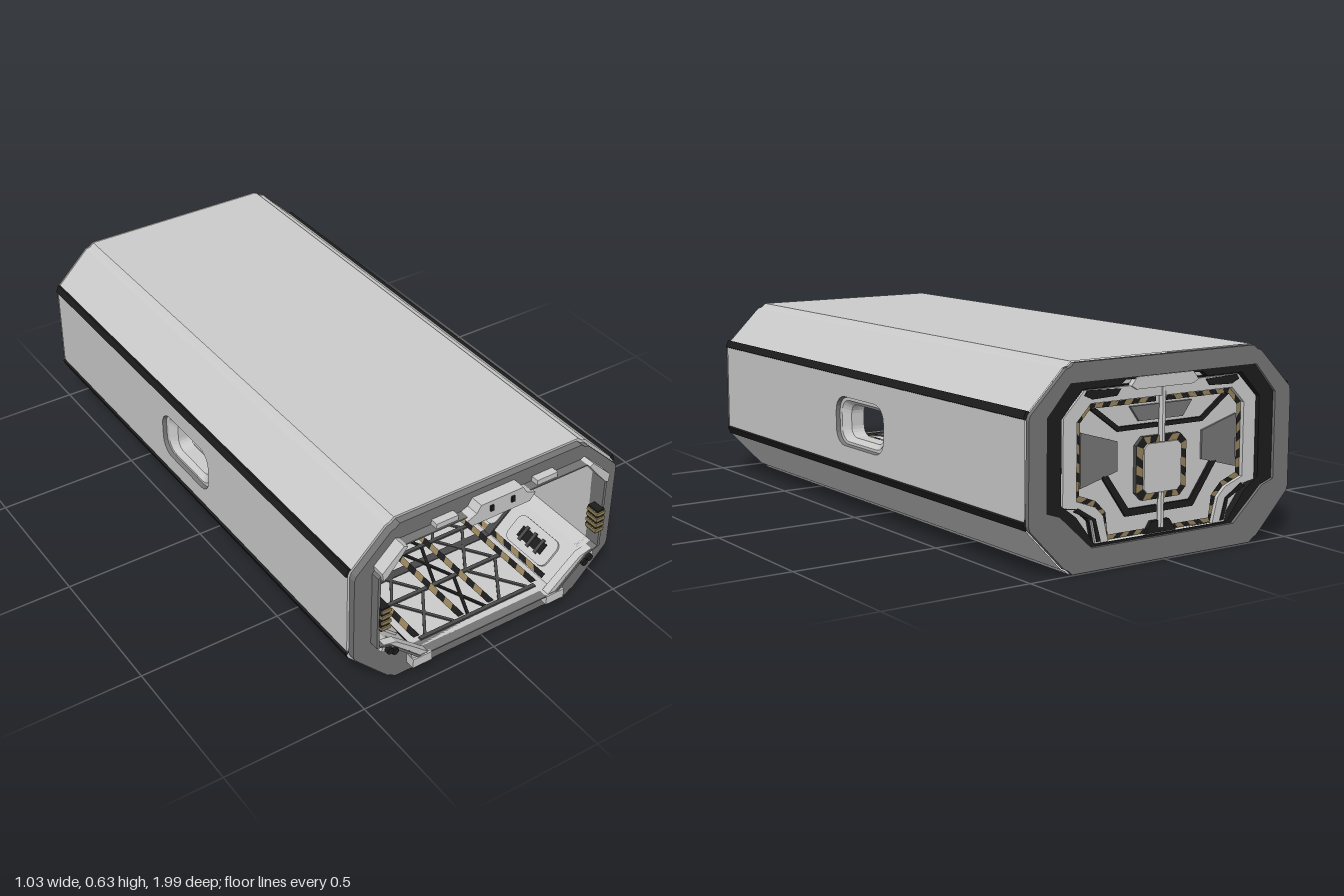
import * as THREE from 'three';

const mat = (color) => new THREE.MeshStandardMaterial({ color, side: THREE.DoubleSide, flatShading: true });
const GREY = mat(0xcccccc), RING = mat(0x747474), DARK = mat(0x4a4a4a), BLACK = mat(0x1c1c1c), YELLOW = mat(0x94815a);

const V = (p) => new THREE.Vector2(p[0], p[1]);
const flip = (pts) => pts.map(([x, y]) => [-x, y]);
const mirrorLoop = (half) => [...half, ...flip(half).reverse()];
const shapeOf = (pts, hole) => {
  const s = new THREE.Shape(pts.map(V));
  if (hole) s.holes.push(new THREE.Path(hole.map(V)));
  return s;
};
function add(parent, name, geo, material, x = 0, y = 0, z = 0) {
  const m = new THREE.Mesh(geo, material);
  m.name = name;
  m.position.set(x, y, z);
  parent.add(m);
  return m;
}
// Flat outline pushed out from z0 to z1
const plate = (parent, name, pts, z0, z1, material, hole) =>
  add(parent, name, new THREE.ExtrudeGeometry(shapeOf(pts, hole), { depth: z1 - z0, bevelEnabled: false }), material, 0, 0, z0);
const pairPlate = (parent, name, pts, z0, z1, material) =>
  [pts, flip(pts)].forEach((p) => plate(parent, name, p, z0, z1, material));
const box = (parent, name, w, h, d, x, y, z, material) => add(parent, name, new THREE.BoxGeometry(w, h, d), material, x, y, z);

function quads(list) {
  const pos = [];
  for (const [a, b, c, d] of list) pos.push(...a, ...b, ...c, ...a, ...c, ...d);
  const g = new THREE.BufferGeometry();
  g.setAttribute('position', new THREE.Float32BufferAttribute(pos, 3));
  g.computeVertexNormals();
  return g;
}
// Walls running along z around a closed outline; upright side walls may be skipped
function tunnel(pts, z0, z1, skipX) {
  const out = [];
  pts.forEach(([x, y], i) => {
    const [u, v] = pts[(i + 1) % pts.length];
    if (Math.abs(x) === skipX && x === u) return;
    out.push([[x, y, z1], [x, y, z0], [u, v, z0], [u, v, z1]]);
  });
  return quads(out);
}
// Slanted warning stripes between two parallel paths
function hazard(parent, name, outer, inner, z, step = 0.04) {
  const sets = [[], []];
  let count = 0;
  const at = (path, i, t) => [0, 1].map((k) => path[i][k] + (path[i + 1][k] - path[i][k]) * t).concat(0);
  for (let i = 0; i < outer.length - 1; i++) {
    const n = Math.max(1, Math.round(V(outer[i]).distanceTo(V(outer[i + 1])) / step));
    const lean = (t) => (t === 0 ? 0 : Math.min(1, t + 0.5 / n));
    for (let k = 0; k < n; k++) {
      const a = k / n, b = (k + 1) / n;
      sets[count++ % 2].push([at(inner, i, lean(a)), at(inner, i, lean(b)), at(outer, i, b), at(outer, i, a)]);
    }
  }
  const g = new THREE.Group();
  g.name = name;
  g.position.z = z;
  sets.forEach((s, i) => s.length && add(g, i ? 'yellowStripes' : 'blackStripes', quads(s), i ? YELLOW : BLACK));
  parent.add(g);
  return g;
}
const pairHazard = (parent, name, o, i, z, step) => {
  hazard(parent, name, o, i, z, step);
  hazard(parent, name, flip(o), flip(i), z, step);
};
function roundedRect(cx, cy, hw, hh, r) {
  const pts = [];
  [[1, 1], [-1, 1], [-1, -1], [1, -1]].forEach(([sx, sy], q) => {
    for (let i = 0; i <= 5; i++) {
      const a = (q + i / 5) * Math.PI / 2;
      pts.push([cx + sx * (hw - r) + r * Math.cos(a), cy + sy * (hh - r) + r * Math.sin(a)]);
    }
  });
  return pts;
}

const HULL = mirrorLoop([[0.35, 0.63], [0.365, 0.617], [0.38, 0.613], [0.505, 0.49], [0.51, 0.475], [0.51, 0.165],
  [0.505, 0.15], [0.38, 0.02], [0.365, 0.013], [0.35, 0]]);
const BORE = mirrorLoop([[0.35, 0.56], [0.43, 0.47], [0.43, 0.2], [0.385, 0.185], [0.27, 0.08]]);
const scaled = (pts, sx, sy) => pts.map(([x, y]) => [x * sx, 0.315 + (y - 0.315) * sy]);
const Z0 = -0.985, Z1 = 0.915;

function buildShell(root) {
  add(root, 'hullSkin', tunnel(HULL, Z0, Z1, 0.51), GREY);
  add(root, 'corridorLining', tunnel(BORE, -0.96, 0.94, 0.43), GREY);
  plate(root, 'frontHullEdge', HULL, Z1 - 0.005, Z1, GREY, BORE);
  plate(root, 'frontRing', scaled(HULL, 0.985, 0.974), Z1 - 0.003, 0.94, RING, BORE);
  plate(root, 'rearRing', scaled(HULL, 0.995, 0.992), -1, Z0, RING, scaled(BORE, 1.03, 1.03));
  const win = { c: [0.055, 0.322], out: [0.153, 0.083, 0.055], hole: [0.105, 0.056, 0.035] };
  for (const s of [-1, 1]) {
    // Side walls with a window cut through both skins
    for (const [x, lo, hi, cut, name] of [[0.51, 0.165, 0.475, win.out, 'hullSide'], [0.43, 0.2, 0.47, win.hole, 'corridorWall']]) {
      const wall = new THREE.ShapeGeometry(shapeOf([[-Z1, lo], [-Z0, lo], [-Z0, hi], [-Z1, hi]], roundedRect(...win.c, ...cut)));
      add(root, name, wall.rotateY(Math.PI / 2), GREY, s * x);
    }
    // Stepped window reveal
    const rings = [[0.51, 0.153, 0.083, 0.055], [0.497, 0.149, 0.079, 0.051], [0.497, 0.135, 0.07, 0.045],
      [0.478, 0.105, 0.056, 0.035], [0.43, 0.105, 0.056, 0.035]]
      .map(([x, ...r]) => roundedRect(...win.c, ...r).map(([u, y]) => [s * x, y, -u]));
    for (let k = 0; k < 4; k++) {
      const strip = rings[k].map((p, i, a) => {
        const j = (i + 1) % a.length;
        return [p, a[j], rings[k + 1][j], rings[k + 1][i]];
      });
      add(root, 'windowReveal', quads(strip), k < 1 ? RING : GREY);
    }
    // Long black seams on the side corners
    for (const [y, t] of [[0.486, 1], [0.166, -1]])
      box(root, 'cornerSeam', 0.018, 0.026, 1.9, s * 0.504, y, -0.035, BLACK).rotation.z = s * t * 0.4;
  }
}

function buildPortal(root) {
  const g = new THREE.Group();
  g.name = 'frontPortal';
  root.add(g);
  // Raised lip around the opening
  plate(g, 'portalLip', scaled(BORE, 1.022, 1.02), 0.938, 0.972, RING, BORE);
  plate(g, 'topPlate', mirrorLoop([[0.08, 0.6], [0.095, 0.575], [0.13, 0.56], [0.11, 0.535]]), 0.94, 0.985, GREY);
  pairPlate(g, 'cornerCap', [[0.345, 0.565], [0.36, 0.572], [0.435, 0.5], [0.43, 0.47], [0.415, 0.48]], 0.94, 0.985, GREY);
  pairPlate(g, 'lowerBracket', [[0.24, 0.08], [0.3, 0.08], [0.31, 0.12], [0.37, 0.155], [0.42, 0.17], [0.41, 0.195], [0.365, 0.185], [0.31, 0.14]], 0.94, 0.968, GREY);
  for (const s of [-1, 1]) {
    box(g, 'topTab', 0.08, 0.02, 0.03, s * 0.19, 0.573, 0.952, GREY);
    box(g, 'topLatch', 0.012, 0.02, 0.012, s * 0.04, 0.575, 0.985, BLACK);
    box(g, 'foot', 0.072, 0.034, 0.04, s * 0.265, 0.063, 0.955, GREY);
    // Side clamp with yellow bars
    box(g, 'sideClamp', 0.03, 0.09, 0.045, s * 0.418, 0.315, 0.96, BLACK);
    for (let i = 0; i < 4; i++) box(g, 'clampBar', 0.034, 0.012, 0.05, s * 0.416, 0.282 + i * 0.022, 0.962, YELLOW);
    for (const [x, y] of [[0.395, 0.172], [0.375, 0.16]])
      add(g, 'bracketPivot', new THREE.CylinderGeometry(0.012, 0.012, 0.045, 12).rotateX(Math.PI / 2), BLACK, s * x, y, 0.96);
  }
}

function buildInterior(root) {
  const g = new THREE.Group();
  g.name = 'interior';
  root.add(g);
  // Floor stripes and crossed grating
  for (const x of [0.06, 0.235]) for (const s of [-1, 1])
    hazard(g, 'floorStripe', [[s * x - 0.012, -0.9], [s * x - 0.012, 0.92]], [[s * x + 0.012, -0.9], [s * x + 0.012, 0.92]], 0, 0.04)
      .rotation.x = -Math.PI / 2;
  g.children.filter((c) => c.name === 'floorStripe').forEach((c) => c.position.set(0, 0.087, 0));
  for (let i = 0; i < 10; i++) {
    const z = -0.8 + i * 0.18;
    box(g, 'floorBeam', 0.46, 0.006, 0.014, 0, 0.083, z + 0.09, DARK);
    for (const x of [-0.148, 0, 0.148]) for (const s of [-1, 1])
      box(g, 'gratingBar', 0.01, 0.005, 0.2, x, 0.083, z, x ? DARK : BLACK).rotation.y = s * (x ? 0.6 : 0.4);
  }
  // Sloped side consoles with raised panels
  for (const s of [-1, 1]) {
    const console_ = new THREE.Group();
    console_.name = 'sideConsole';
    console_.position.set(s * 0.3275, 0.1325, 0);
    console_.rotation.z = s * 0.74;
    g.add(console_);
    for (let i = 0; i < 7; i++) {
      const z = -0.78 + i * 0.26;
      const pad = new THREE.ExtrudeGeometry(shapeOf(roundedRect(0, 0, 0.05, 0.1, 0.025)), { depth: 0.008, bevelEnabled: false });
      add(console_, 'consolePanel', pad.rotateX(-Math.PI / 2), GREY, 0, 0.001, z);
      box(console_, 'panelRecess', 0.04, 0.004, 0.12, 0, 0.01, z, BLACK);
      for (let k = -1; k < 2; k++) box(console_, 'panelHandle', 0.055, 0.008, 0.012, 0, 0.012, z + k * 0.04, DARK);
    }
    const edge = hazard(console_, 'consoleStripe', [[-s * 0.075, -0.9], [-s * 0.075, 0.92]], [[-s * 0.057, -0.9], [-s * 0.057, 0.92]], 0);
    edge.rotation.x = -Math.PI / 2;
    edge.position.set(0, 0.004, 0);
  }
  // Wall and ceiling ribs
  for (const z of [-0.7, -0.35, 0.25, 0.6]) plate(g, 'wallRib', BORE, z, z + 0.03, DARK, scaled(BORE, 0.98, 0.985));
}

// One face of the end door, looking along +z
function buildDoorFace() {
  const g = new THREE.Group();
  g.name = 'doorFace';
  const frame = mirrorLoop([[0.3, 0.54], [0.375, 0.465], [0.375, 0.2], [0.315, 0.19], [0.27, 0.15], [0.255, 0.08]]);
  const leaf = mirrorLoop([[0.275, 0.5], [0.325, 0.45], [0.325, 0.215], [0.255, 0.19], [0.225, 0.16], [0.205, 0.08]]);
  plate(g, 'doorFrame', frame, 0, 0.02, GREY, leaf);
  plate(g, 'frameShadow', scaled(frame, 1.015, 1.018), 0, 0.012, BLACK, frame);
  pairPlate(g, 'topVent', [[0.29, 0.54], [0.165, 0.535], [0.18, 0.515], [0.27, 0.512], [0.3, 0.525]], 0.015, 0.023, BLACK);
  pairPlate(g, 'lowerSlot', [[0.32, 0.195], [0.335, 0.185], [0.265, 0.15], [0.25, 0.085], [0.235, 0.085], [0.255, 0.155]], 0.015, 0.023, BLACK);
  plate(g, 'headerBar', mirrorLoop([[0.11, 0.565], [0.13, 0.54], [0.11, 0.528]]), 0.01, 0.028, GREY);
  // Striped border of the leaf
  pairHazard(g, 'leafStripes',
    [[0.02, 0.497], [0.275, 0.497], [0.323, 0.45], [0.323, 0.215], [0.255, 0.19], [0.225, 0.16], [0.205, 0.082], [0.05, 0.082]],
    [[0.02, 0.482], [0.268, 0.482], [0.306, 0.443], [0.306, 0.228], [0.245, 0.205], [0.208, 0.168], [0.198, 0.097], [0.05, 0.097]], 0.008, 0.028);
  // Dark insets and black trim lines
  pairPlate(g, 'sideInset', [[0.303, 0.415], [0.165, 0.375], [0.165, 0.285], [0.303, 0.248]], 0.002, 0.009, RING);
  pairPlate(g, 'upperTrim', [[0.27, 0.48], [0.245, 0.48], [0.16, 0.418], [0.012, 0.418], [0.012, 0.404], [0.165, 0.404]], 0.002, 0.01, BLACK);
  pairPlate(g, 'lowerTrim', [[0.225, 0.275], [0.2, 0.275], [0.12, 0.165], [0.012, 0.165], [0.012, 0.143], [0.132, 0.143]], 0.002, 0.01, BLACK);
  plate(g, 'upperInset', mirrorLoop([[0.12, 0.475], [0.085, 0.428]]), 0.002, 0.011, RING);
  plate(g, 'sillBlock', mirrorLoop([[0.035, 0.117], [0.06, 0.08]]), 0.002, 0.016, BLACK);
  // Centre hatch with striped rim
  const octagon = (w, h, c) => [[w, h - c], [w - c, h], [c - w, h], [-w, h - c], [-w, c - h], [c - w, -h], [w - c, -h], [w, c - h], [w, h - c]]
    .map(([x, y]) => [x, y + 0.282]);
  plate(g, 'hatchBase', octagon(0.097, 0.097, 0.025).slice(0, 8), 0, 0.014, DARK);
  hazard(g, 'hatchStripes', octagon(0.097, 0.097, 0.025), octagon(0.072, 0.076, 0.014), 0.0155, 0.032);
  plate(g, 'hatchCover', octagon(0.072, 0.076, 0.014).slice(0, 8), 0.012, 0.022, GREY);
  add(g, 'centrePost', new THREE.CylinderGeometry(0.01, 0.01, 0.17, 12), GREY, 0, 0.445, 0.014);
  add(g, 'centrePost', new THREE.CylinderGeometry(0.01, 0.01, 0.11, 12), GREY, 0, 0.15, 0.014);
  return g;
}

function buildDoor(root) {
  plate(root, 'doorLeaf', BORE, -0.965, -0.955, GREY);
  const inside = buildDoorFace(), outside = buildDoorFace();
  inside.position.z = -0.955;
  outside.position.z = -0.965;
  outside.rotation.y = Math.PI;
  root.add(inside, outside);
  // Striped surround inside, black surround outside
  const o = [[0.13, 0.56], [0.35, 0.56], [0.43, 0.47], [0.43, 0.2], [0.385, 0.187]];
  const i = [[0.13, 0.545], [0.315, 0.545], [0.385, 0.465], [0.385, 0.2], [0.37, 0.19]];
  pairHazard(inside, 'surroundStripes', o, i, 0.014, 0.045);
  plate(root, 'rearSurround', scaled(BORE, 1.03, 1.03), -0.99, -0.965, BLACK,
    mirrorLoop([[0.15, 0.56], [0.17, 0.545], [0.31, 0.545], [0.385, 0.465], [0.385, 0.21], [0.33, 0.17], [0.26, 0.08]]));
}

export function createModel() {
  const root = new THREE.Group();
  root.name = 'corridorModule';
  buildShell(root);
  buildPortal(root);
  buildInterior(root);
  buildDoor(root);
  return root;
}
